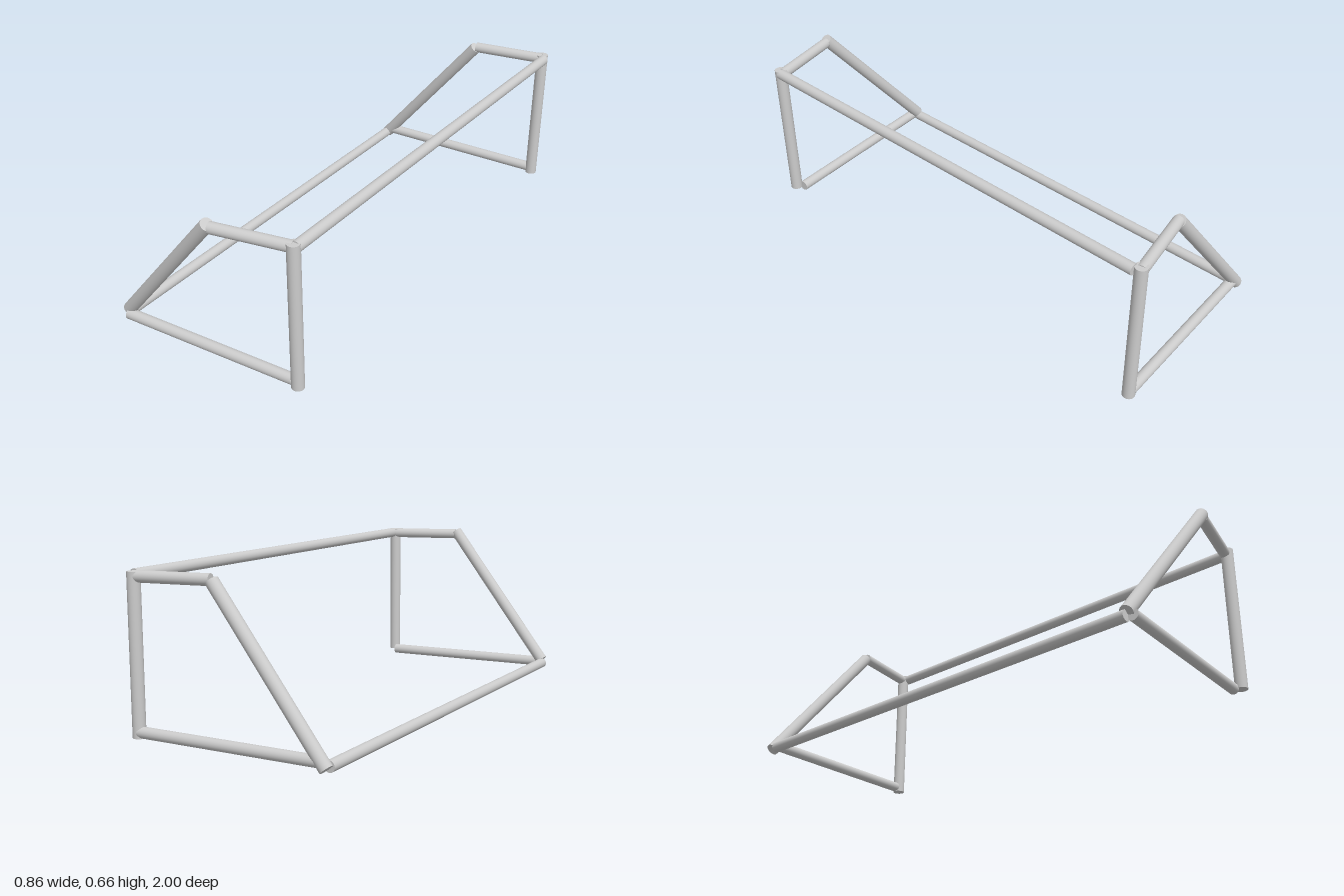
import * as THREE from 'three';

const material = new THREE.MeshStandardMaterial({ color: 0xcccccc });

// Straight capped tube between two points
function bar(name, radius, from, to) {
  const a = new THREE.Vector3(...from);
  const b = new THREE.Vector3(...to);
  const dir = b.clone().sub(a);
  const mesh = new THREE.Mesh(new THREE.CylinderGeometry(radius, radius, dir.length(), 32), material);
  mesh.name = name;
  mesh.position.copy(a).add(b).multiplyScalar(0.5);
  mesh.quaternion.setFromUnitVectors(new THREE.Vector3(0, 1, 0), dir.normalize());
  return mesh;
}

export function createModel() {
  const model = new THREE.Group();
  model.name = 'tubeFrame';

  // The two end frames: post, base bar, sloping brace and short top bar
  const ends = [
    {
      name: 'frontEnd',
      post: [[0.39, 0.042, 0.905], [0.39, 0.655, 0.905]],
      base: [[-0.396, 0.048, 0.942], [0.37, 0.043, 0.882]],
      brace: [[-0.406, 0.059, 0.925], [0.081, 0.65, 0.973]],
      top: [[0.085, 0.638, 0.97], [0.385, 0.636, 0.9]],
    },
    {
      name: 'backEnd',
      post: [[0.39, 0.021, -0.972], [0.39, 0.632, -0.972]],
      base: [[-0.396, 0.043, -0.935], [0.385, 0.043, -0.975]],
      brace: [[-0.403, 0.02, -0.937], [0.081, 0.612, -0.915]],
      top: [[0.085, 0.615, -0.915], [0.39, 0.614, -0.972]],
    },
  ];
  for (const e of ends) {
    const end = new THREE.Group();
    end.name = e.name;
    end.add(
      bar('post', 0.025, ...e.post),
      bar('baseBar', 0.022, ...e.base),
      bar('brace', 0.026, ...e.brace),
      bar('topBar', 0.0225, ...e.top),
    );
    model.add(end);
  }

  // Long rails joining the two ends
  model.add(
    bar('upperRail', 0.022, [0.395, 0.638, 0.9], [0.405, 0.617, -0.953]),
    bar('lowerRail', 0.022, [-0.408, 0.045, 0.925], [-0.4, 0.025, -0.915]),
  );
  return model;
}
